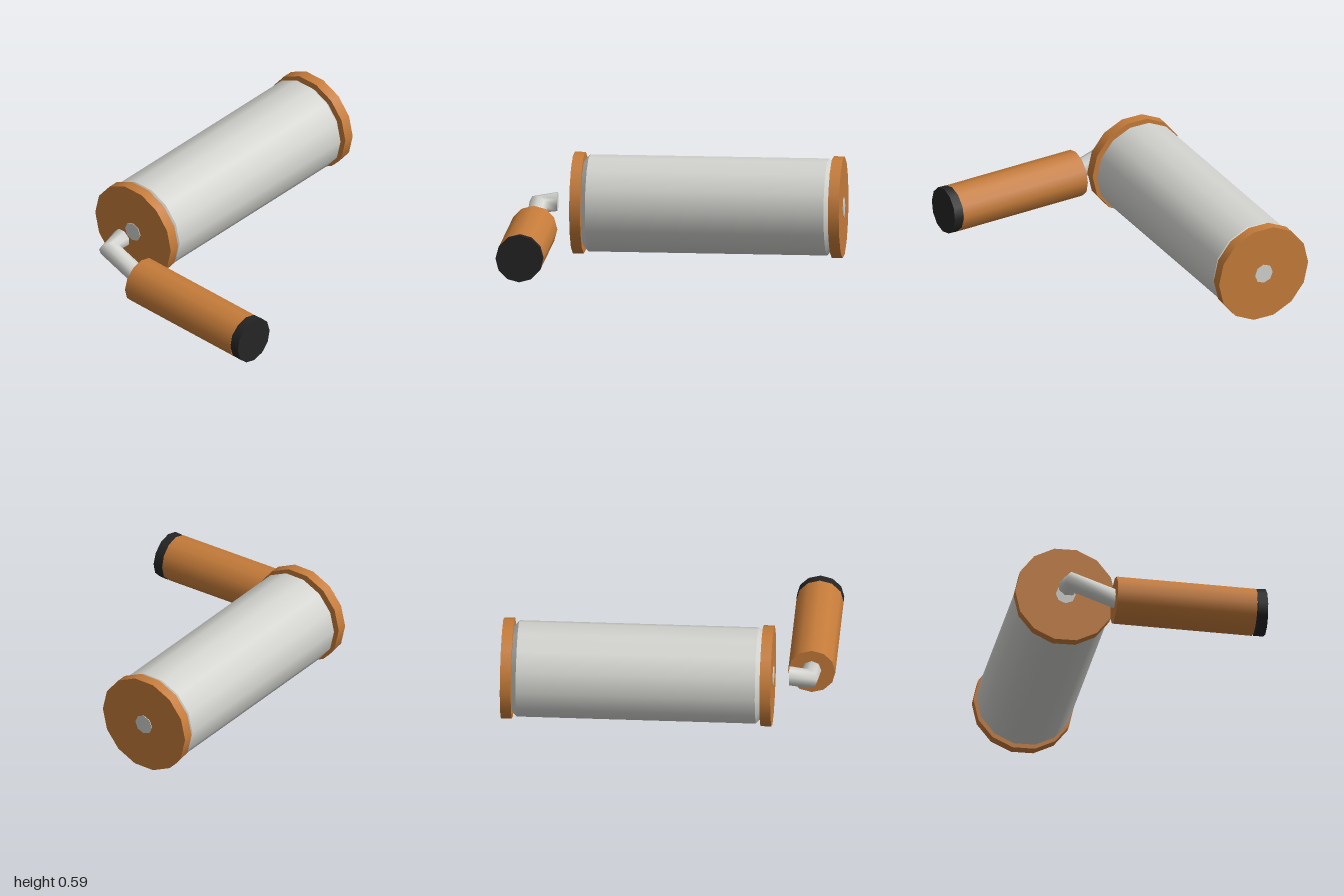
import * as THREE from 'three';

const orange = new THREE.MeshStandardMaterial({ color: 0xc67c3a });
orange.name = 'orange';
const grey = new THREE.MeshStandardMaterial({ color: 0xd2d2ce });
grey.name = 'light grey';
const black = new THREE.MeshStandardMaterial({ color: 0x242424 });
black.name = 'black';

const CX = -0.436, CY = 0.297; // roller axis

function add(parent, name, geometry, material) {
  const mesh = new THREE.Mesh(geometry, material);
  mesh.name = name;
  parent.add(mesh);
  return mesh;
}

// Cylinder along z on the roller axis, from z0 (radius r0) to z1 (radius r1)
function alongZ(z0, z1, r0, r1, sides, open = false) {
  const g = new THREE.CylinderGeometry(r1, r0, z1 - z0, sides, 1, open);
  g.rotateY(Math.PI / 2).rotateX(Math.PI / 2);
  return g.translate(CX, CY, (z0 + z1) / 2);
}

// Cylinder lying along x, tilted about z
function alongX(x, y, z, length, r, tilt) {
  const g = new THREE.CylinderGeometry(r, r, length, 12);
  return g.rotateZ(tilt - Math.PI / 2).translate(x, y, z);
}

// Bent rod: three rings joined, the middle one mitred at the elbow
function rodGeometry(r, sides) {
  const u = new THREE.Vector3(0.942, -0.336, 0);
  const v = new THREE.Vector3(0.336, 0.942, 0);
  const rings = [
    { c: [CX, 0.302, 0.74], k: 1.05, w: 0 },
    { c: [-0.433, 0.283, 0.855], k: 0.6, w: 0.95 },
    { c: [-0.16, 0.185, 0.857], k: 0, w: 1 },
  ];
  const pos = [], index = [];
  rings.forEach(({ c, k, w }, i) => {
    for (let j = 0; j < sides; j++) {
      const a = (j / sides) * Math.PI * 2;
      const p = new THREE.Vector3(...c)
        .addScaledVector(u, r * k * Math.cos(a))
        .addScaledVector(v, r * Math.sin(a));
      p.z -= r * w * Math.cos(a);
      pos.push(p.x, p.y, p.z);
      if (i < 2) {
        const n = (j + 1) % sides, s = i * sides;
        const a0 = s + j, a1 = s + n, b0 = a0 + sides, b1 = a1 + sides;
        index.push(a0, a1, b1, a0, b1, b0);
      }
    }
  });
  const g = new THREE.BufferGeometry();
  g.setAttribute('position', new THREE.Float32BufferAttribute(pos, 3));
  g.setIndex(index);
  g.computeVertexNormals();
  return g;
}

export function createModel() {
  const model = new THREE.Group();
  model.name = 'paintRoller';

  // Roller sleeve with chamfered ends
  const sleeve = new THREE.Group();
  sleeve.name = 'sleeve';
  model.add(sleeve);
  add(sleeve, 'sleeveBody', alongZ(-0.875, 0.55, 0.289, 0.289, 14, true), grey);
  add(sleeve, 'backChamfer', alongZ(-0.905, -0.875, 0.257, 0.289, 14, true), grey);
  add(sleeve, 'frontChamfer', alongZ(0.55, 0.58, 0.289, 0.257, 14, true), grey);

  // End discs and the axle showing in their centres
  add(model, 'backDisc', alongZ(-0.968, -0.903, 0.303, 0.303, 14), orange);
  add(model, 'frontDisc', alongZ(0.578, 0.643, 0.303, 0.303, 14), orange);
  add(model, 'backAxle', alongZ(-0.972, -0.967, 0.06, 0.06, 8), grey);
  add(model, 'frontAxle', alongZ(0.642, 0.647, 0.06, 0.06, 8), grey);

  // Bent rod leading to the handle
  add(model, 'rod', rodGeometry(0.058, 8), grey);
  const end = new THREE.CircleGeometry(0.06, 8);
  end.rotateY(Math.PI).rotateZ(-0.343).translate(CX, 0.302, 0.74);
  add(model, 'rodEnd', end, grey);

  // Handle and its end cap
  add(model, 'handle', alongX(0.243, 0.172, 0.858, 0.842, 0.141, -0.021), orange);
  add(model, 'handleCap', alongX(0.697, 0.164, 0.858, 0.06, 0.141, 0.035), black);

  return model;
}
